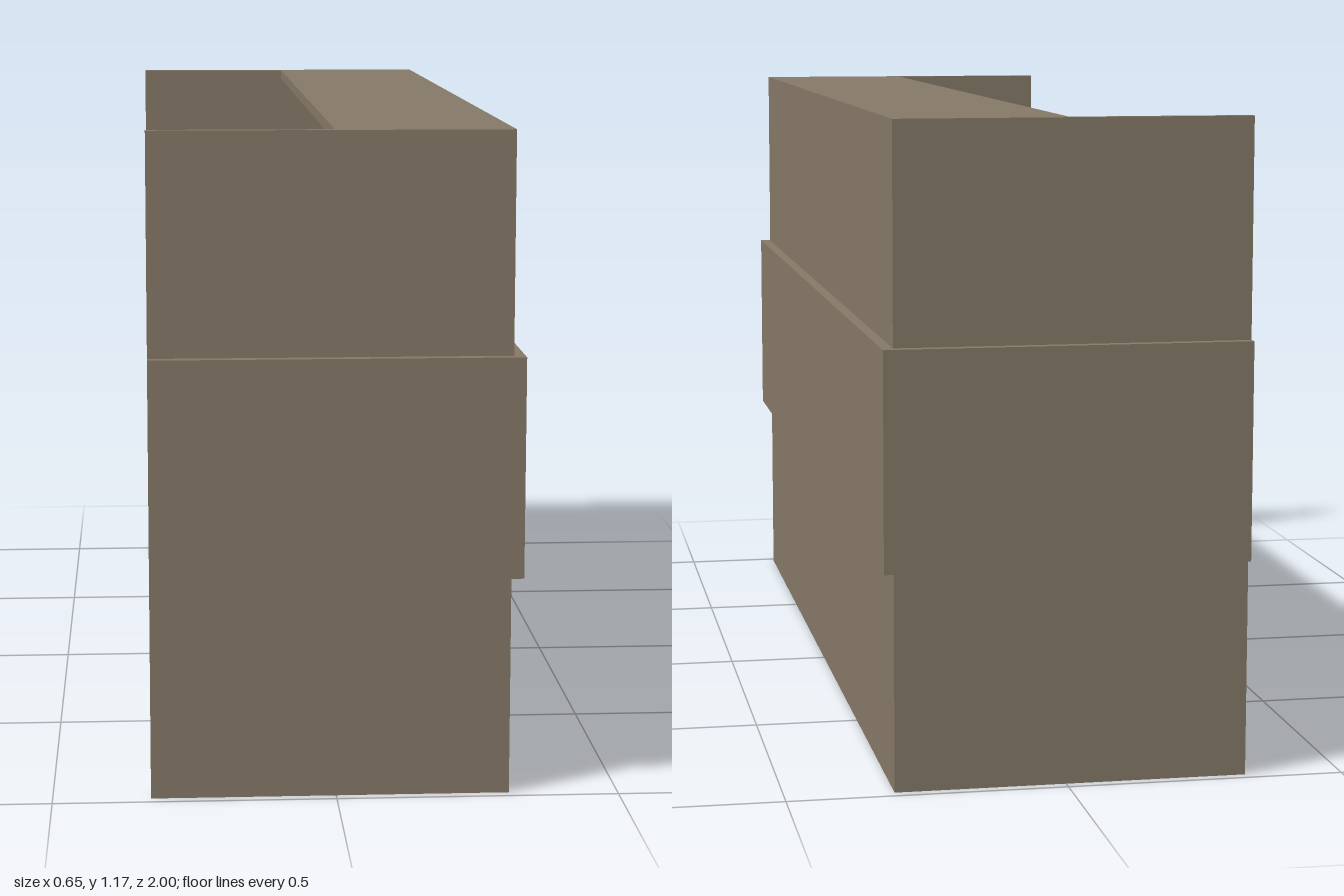
import * as THREE from 'three';

export function createModel() {
  const model = new THREE.Group();
  model.name = 'receptionCounter';
  const taupe = new THREE.MeshStandardMaterial({ color: 0x857867 });
  taupe.name = 'taupe laminate';

  const back = -0.327; // open staff side
  const T = 0.02;      // board thickness

  // Board given by its minimum and maximum corners
  function board(name, x0, x1, y0, y1, z0, z1, parent = model) {
    const mesh = new THREE.Mesh(new THREE.BoxGeometry(x1 - x0, y1 - y0, z1 - z0), taupe);
    mesh.position.set((x0 + x1) / 2, (y0 + y1) / 2, (z0 + z1) / 2);
    mesh.name = name;
    parent.add(mesh);
  }

  // Three-sided shell: long panel on +x, with a side panel at each end
  function shell(name, xOuter, zOuter, y0, y1) {
    const group = new THREE.Group();
    group.name = name;
    board('longPanel', xOuter - T, xOuter, y0, y1, -zOuter, zOuter, group);
    for (const s of [-1, 1]) {
      const a = s * zOuter, b = s * (zOuter - T);
      board(s > 0 ? 'frontSidePanel' : 'rearSidePanel',
        back, xOuter - T, y0, y1, Math.min(a, b), Math.max(a, b), group);
    }
    model.add(group);
  }

  shell('counterBody', 0.307, 0.981, 0, 1.175);
  shell('raisedBand', 0.327, 1, 0.393, 0.784);

  // Worktop and raised transaction shelf between the side panels
  board('worktop', back, 0.287, 0.72, 0.74, -0.961, 0.961);
  board('transactionShelf', -0.003, 0.287, 1.155, 1.175, -0.961, 0.961);

  return model;
}
